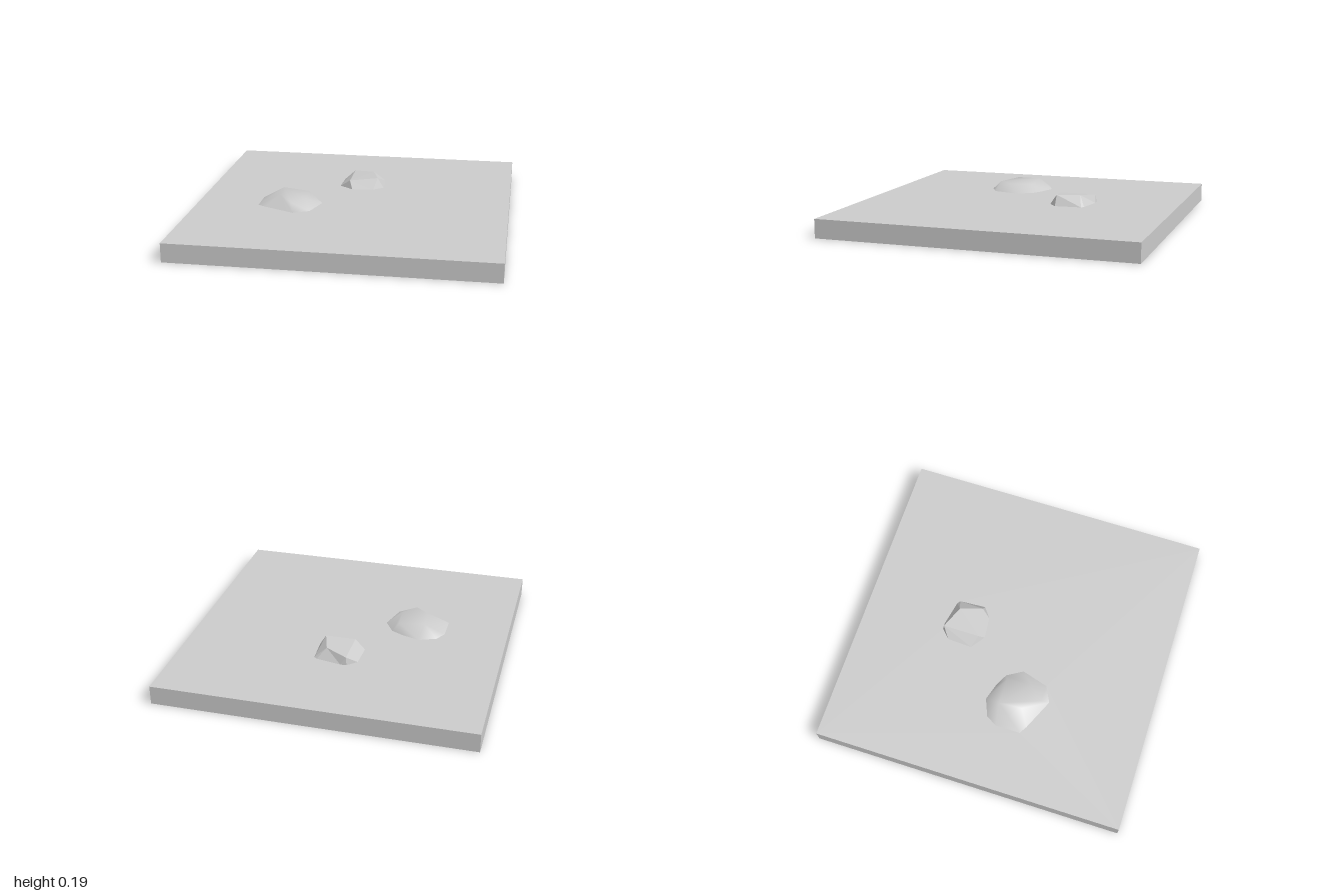
import * as THREE from 'three';

const TOP = 0.12;

// Each rim point is [x, z, index of the crown point it leans on], counterclockwise from above
const smallRim = [
  [-0.145, -0.25, 0], [-0.055, -0.185, 0], [0.085, -0.2, 1], [0.15, -0.25, 1], [0.14, -0.42, 2],
  [0.12, -0.435, 2], [-0.04, -0.467, 3], [-0.08, -0.465, 3], [-0.138, -0.41, 3],
];
const smallCrown = [[-0.075, 0.17, -0.22], [0.11, 0.187, -0.25], [0.065, 0.185, -0.395], [-0.075, 0.17, -0.458]];

const largeRim = [
  [-0.6, 0.07, 0], [-0.6, 0.23, 1], [-0.55, 0.26, 1], [-0.35, 0.35, 2], [-0.25, 0.3, 3],
  [-0.2, 0.13, 3], [-0.26, 0.03, 4], [-0.34, -0.01, 4], [-0.45, -0.045, 0], [-0.56, 0, 0],
];
const largeCrown = [
  [-0.47, 0.188, 0.05], [-0.46, 0.19, 0.2], [-0.37, 0.17, 0.3], [-0.29, 0.17, 0.21], [-0.3, 0.172, 0.05],
];

// Hollow rock: sloping sides from rim to crown, closed by a fan on top
function rockGeometry(rim, crown, smooth) {
  const n = rim.length;
  const points = [...rim.map(([x, z]) => [x, TOP, z]), ...crown];
  const index = [];
  rim.forEach(([, , a], i) => {
    const next = (i + 1) % n;
    const b = rim[next][2];
    index.push(i, next, n + a);
    if (a !== b) index.push(next, n + b, n + a);
  });
  for (let i = 1; i < crown.length - 1; i++) index.push(n, n + i, n + i + 1);
  const geometry = new THREE.BufferGeometry();
  geometry.setAttribute('position', new THREE.Float32BufferAttribute(points.flat(), 3));
  geometry.setIndex(index);
  const result = smooth ? geometry : geometry.toNonIndexed();
  result.computeVertexNormals();
  return result;
}

export function createModel() {
  const group = new THREE.Group();
  const stone = new THREE.MeshStandardMaterial({ color: 0xcccccc, side: THREE.DoubleSide });
  stone.name = 'grey stone';
  const add = (name, geometry) => {
    const mesh = new THREE.Mesh(geometry, stone);
    mesh.name = name;
    group.add(mesh);
    return mesh;
  };

  // Ground sheet, open under each rock
  const outline = new THREE.Shape([[-1, -1], [1, -1], [1, 1], [-1, 1]].map(([x, y]) => new THREE.Vector2(x, y)));
  for (const rim of [smallRim, largeRim]) {
    outline.holes.push(new THREE.Path(rim.map(([x, z]) => new THREE.Vector2(x, -z))));
  }
  add('groundTop', new THREE.ShapeGeometry(outline).rotateX(-Math.PI / 2).translate(0, TOP, 0));

  // Four thin side walls; the underside stays open
  ['front', 'left', 'back', 'right'].forEach((side, i) => {
    const wall = new THREE.PlaneGeometry(2, TOP).translate(0, TOP / 2, 1).rotateY((i * Math.PI) / 2);
    add(side + 'Wall', wall);
  });

  // Rocks
  add('smallRock', rockGeometry(smallRim, smallCrown, false));
  add('largeRock', rockGeometry(largeRim, largeCrown, true));

  return group;
}
